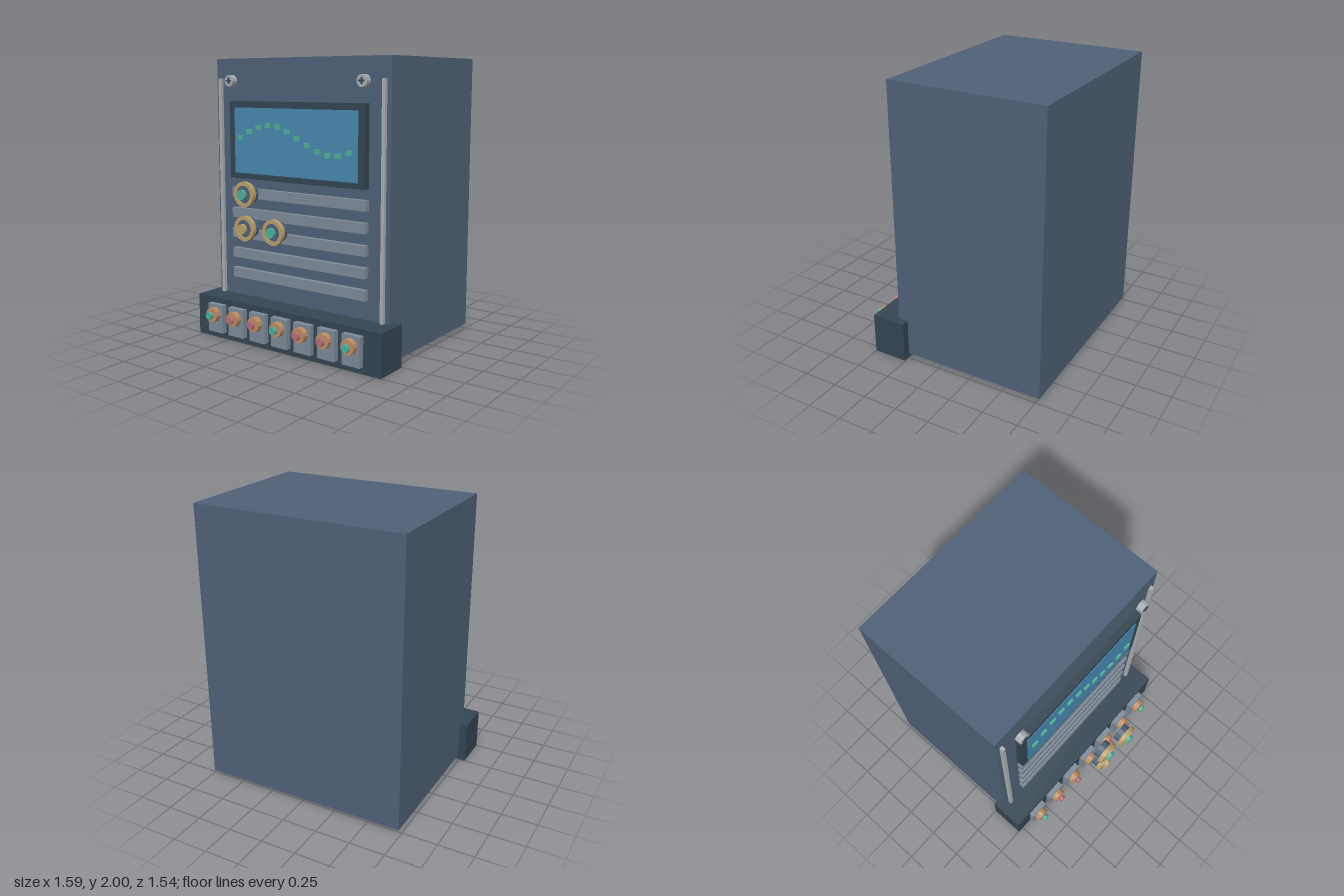
import * as THREE from 'three';

const mat = (name, color) => {
  const m = new THREE.MeshStandardMaterial({ color });
  m.name = name;
  return m;
};

export function createModel() {
  const slate = mat('slate blue', 0x4f6177);
  const dark = mat('dark slate', 0x344552);
  const glass = mat('screen blue', 0x4788b1);
  const grey = mat('panel grey', 0x7e8b99);
  const silver = mat('silver', 0xaaaeb0);
  const teal = mat('teal', 0x4fae98);
  const gold = mat('gold', 0xb8a06c);
  const copper = mat('copper', 0xbb8c64);
  const rose = mat('rose', 0xb86c78);

  const model = new THREE.Group();
  model.name = 'controlConsole';

  const group = (name, x = 0, y = 0, z = 0) => {
    const g = new THREE.Group();
    g.name = name;
    g.position.set(x, y, z);
    model.add(g);
    return g;
  };
  // Box and z-facing cylinder, both given by their back and front z
  const box = (parent, name, m, w, h, x, y, z0, z1) => {
    const mesh = new THREE.Mesh(new THREE.BoxGeometry(w, h, z1 - z0), m);
    mesh.name = name;
    mesh.position.set(x, y, (z0 + z1) / 2);
    parent.add(mesh);
    return mesh;
  };
  const disc = (parent, name, m, r, x, y, z0, z1, sides = 12) => {
    let g = new THREE.CylinderGeometry(r, r, z1 - z0, sides);
    g = g.rotateX(Math.PI / 2).toNonIndexed();
    g.computeVertexNormals();
    const mesh = new THREE.Mesh(g, m);
    mesh.name = name;
    mesh.position.set(x, y, (z0 + z1) / 2);
    parent.add(mesh);
    return mesh;
  };

  // Cabinet and base
  box(model, 'cabinet', slate, 1.476, 1.97, 0, 1.015, -0.772, 0.325);
  box(model, 'base', dark, 1.586, 0.295, 0, 0.1475, 0.255, 0.504);

  // Side rails and corner screws
  for (const s of [-1, 1]) {
    box(model, s > 0 ? 'leftRail' : 'rightRail', silver, 0.024, 1.66, s * 0.693, 1.03, 0.32, 0.35);
    const screw = group(s > 0 ? 'leftScrew' : 'rightScrew', s * 0.562, 1.845);
    disc(screw, 'screwHead', silver, 0.041, 0, 0, 0.353, 0.396);
    box(screw, 'screwSlot', dark, 0.044, 0.013, 0, 0, 0.39, 0.403);
    box(screw, 'screwSlotCross', dark, 0.013, 0.044, 0, 0, 0.39, 0.402);
  }

  // Screen with a wave of markers
  const screen = group('screen');
  box(screen, 'screenFrame', dark, 1.15, 0.545, 0, 1.432, 0.32, 0.376);
  box(screen, 'screenGlass', glass, 1.05, 0.46, 0, 1.43, 0.373, 0.381);
  for (let i = 0; i < 12; i++) {
    box(screen, 'waveMarker', teal, 0.047, 0.033, -0.464 + i * 0.0843,
      1.452 + 0.09 * Math.sin(i * 0.5), 0.381, 0.396);
  }

  // Vent slats
  for (let i = 0; i < 5; i++) {
    box(model, 'ventSlat', grey, 1.15, 0.07, 0, 1.055 - i * 0.1475, 0.32, 0.364);
  }

  // Knobs standing in front of the panel
  const ring = new THREE.Shape().absarc(0, 0, 0.083, 0, Math.PI * 2);
  ring.holes.push(new THREE.Path().absarc(0, 0, 0.058, 0, Math.PI * 2, true));
  const ringGeometry = new THREE.ExtrudeGeometry(ring, { depth: 0.029, bevelEnabled: false, curveSegments: 20 });
  for (const [x, y, capMat] of [[-0.12, 1.115, teal], [-0.12, 0.89, gold], [0.12, 0.89, teal]]) {
    const knob = group('knob', x, y);
    disc(knob, 'knobBody', slate, 0.066, 0, 0, 0.669, 0.735);
    const rim = new THREE.Mesh(ringGeometry, gold);
    rim.name = 'knobRim';
    rim.position.z = 0.717;
    knob.add(rim);
    disc(knob, 'knobCap', capMat, 0.034, 0, 0, 0.751, 0.772);
  }

  // Row of push buttons on the base
  for (let i = 0; i < 7; i++) {
    const button = group('button', (i - 3) * 0.197 - 0.002, 0);
    box(button, 'buttonPlate', grey, 0.14, 0.206, 0, 0.152, 0.5, 0.544);
    disc(button, 'buttonCollar', copper, 0.052, 0, 0.185, 0.544, 0.585);
    disc(button, 'buttonCap', i % 3 === 0 ? teal : rose, 0.027, 0, 0.185, 0.593, 0.616);
  }

  return model;
}
